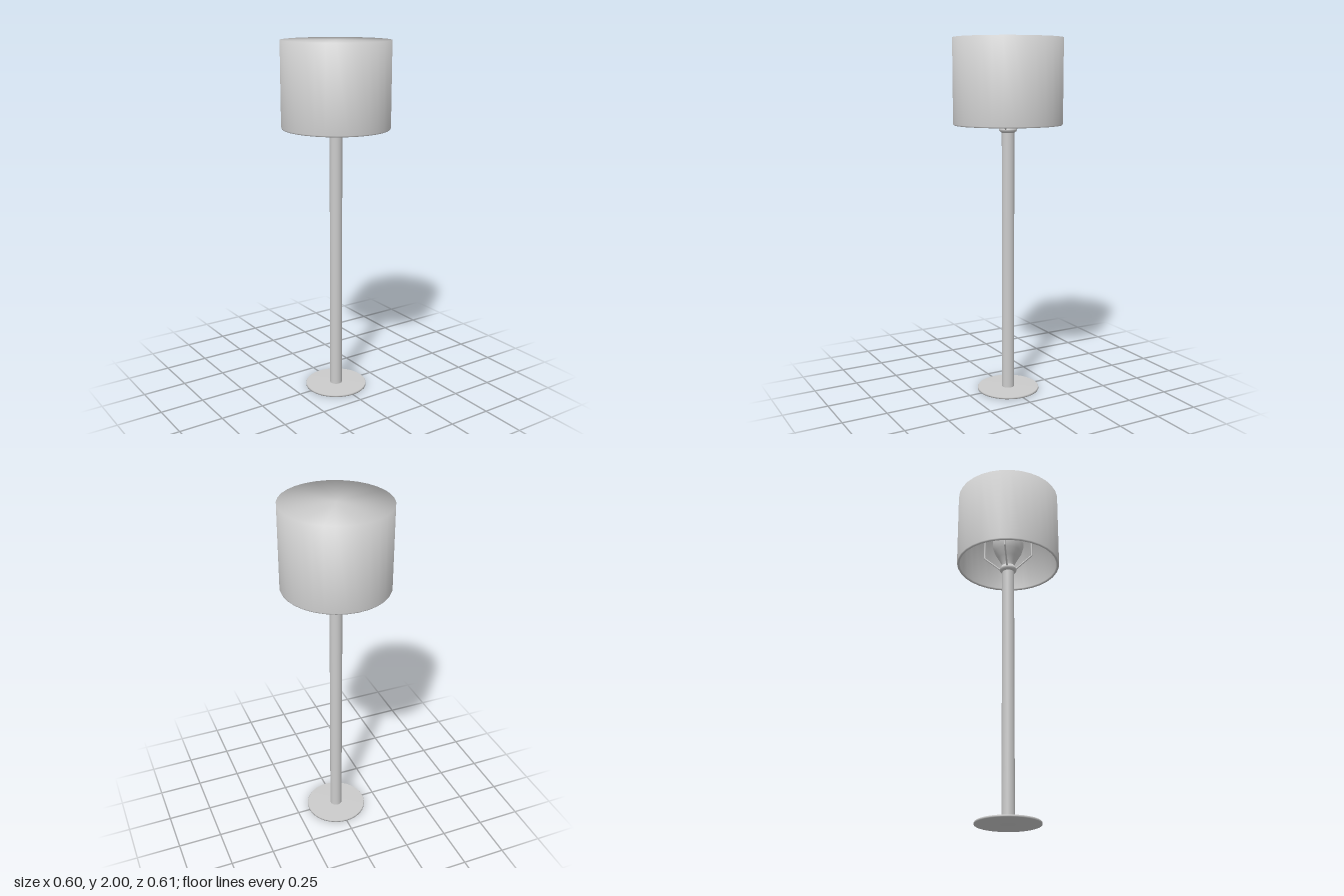
import * as THREE from 'three';

const material = new THREE.MeshStandardMaterial({ color: 0xcccccc, side: THREE.DoubleSide });

function lathe(name, profile, segments = 32) {
  const points = profile.map(([r, y]) => new THREE.Vector2(r, y));
  const mesh = new THREE.Mesh(new THREE.LatheGeometry(points, segments), material);
  mesh.name = name;
  return mesh;
}

// Thin rod between two points
function rod(a, b, radius) {
  const dir = b.clone().sub(a);
  const mesh = new THREE.Mesh(new THREE.CylinderGeometry(radius, radius, dir.length(), 8), material);
  mesh.position.copy(a).add(b).multiplyScalar(0.5);
  mesh.quaternion.setFromUnitVectors(new THREE.Vector3(0, 1, 0), dir.normalize());
  return mesh;
}

export function createModel() {
  const lamp = new THREE.Group();
  lamp.name = 'floorLamp';

  // Foot and pole
  lamp.add(lathe('base', [[0, 0], [0.177, 0], [0.177, 0.008], [0.174, 0.012], [0, 0.012]]));
  lamp.add(lathe('pole', [[0.035, 0.01], [0.035, 1.5]]));

  // Stepped collar that carries the bulb and arms
  lamp.add(lathe('collar', [
    [0.034, 1.485], [0.045, 1.492], [0.05, 1.5], [0.05, 1.507],
    [0.042, 1.514], [0.04, 1.525], [0, 1.525],
  ]));

  // Bulb
  lamp.add(lathe('bulb', [
    [0.036, 1.52], [0.04, 1.545], [0.058, 1.58], [0.08, 1.62], [0.092, 1.66],
    [0.09, 1.7], [0.075, 1.735], [0.045, 1.76], [0, 1.77],
  ]));

  // Four bent arms holding the shade
  const arms = new THREE.Group();
  arms.name = 'shadeArms';
  for (let i = 0; i < 4; i++) {
    const arm = new THREE.Group();
    arm.name = 'arm';
    const path = [[0.042, 1.503], [0.14, 1.59], [0.14, 1.985]].map(([x, y]) => new THREE.Vector3(x, y, 0));
    for (let k = 0; k < 2; k++) arm.add(rod(path[k], path[k + 1], 0.005));
    arm.rotation.y = Math.PI / 4 + (i * Math.PI) / 2;
    arms.add(arm);
  }
  lamp.add(arms);

  // Closed-top drum shade with a wall thickness, open below
  const shade = lathe('shade', [
    [0, 1.98], [0.287, 1.98], [0.287, 1.535], [0.292, 1.528],
    [0.3, 1.528], [0.304, 1.535], [0.304, 2], [0, 2],
  ]);
  shade.scale.x = 0.98;
  lamp.add(shade);

  return lamp;
}
